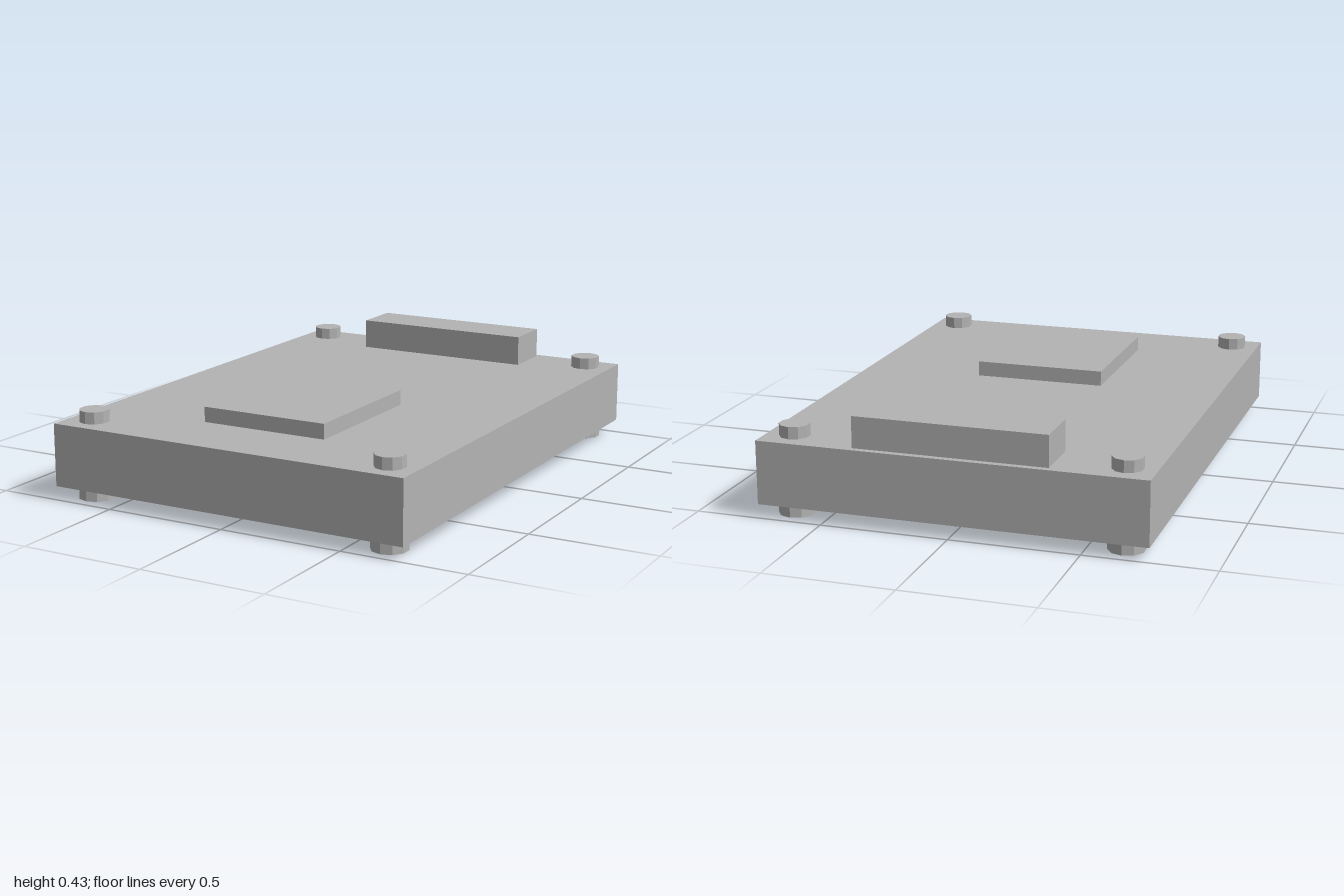
import * as THREE from 'three';

export function createModel() {
  const model = new THREE.Group();
  model.name = 'circuitBoard';
  const grey = new THREE.MeshStandardMaterial({ color: 0xb3b3b3 });
  grey.name = 'grey';
  grey.flatShading = true;

  const boardBottom = 0.055, boardTop = 0.303;

  // Add a mesh resting on height y
  function add(name, geometry, height, x, y, z) {
    const mesh = new THREE.Mesh(geometry, grey);
    mesh.name = name;
    mesh.position.set(x, y + height / 2, z);
    model.add(mesh);
  }
  function box(name, w, h, d, x, y, z) {
    add(name, new THREE.BoxGeometry(w, h, d), h, x, y, z);
  }
  function disc(name, r, h, x, y, z) {
    add(name, new THREE.CylinderGeometry(r, r, h, 10), h, x, y, z);
  }

  // Slab with a flat chip and a raised connector at the back
  box('board', 1.5, boardTop - boardBottom, 2, 0, boardBottom, 0);
  box('chip', 0.525, 0.06, 0.6, 0, boardTop, 0.4);
  box('connector', 0.75, 0.122, 0.2, 0, boardTop, -0.875);

  // Screw head above and foot below at each corner
  for (const sx of [-1, 1]) {
    for (const sz of [-1, 1]) {
      const corner = (sz > 0 ? 'Front' : 'Back') + (sx > 0 ? 'Left' : 'Right');
      disc('screw' + corner, 0.059, 0.047, sx * 0.64, boardTop, sz * 0.89);
      disc('foot' + corner, 0.071, boardBottom, sx * 0.64, 0, sz * 0.89);
    }
  }
  return model;
}
